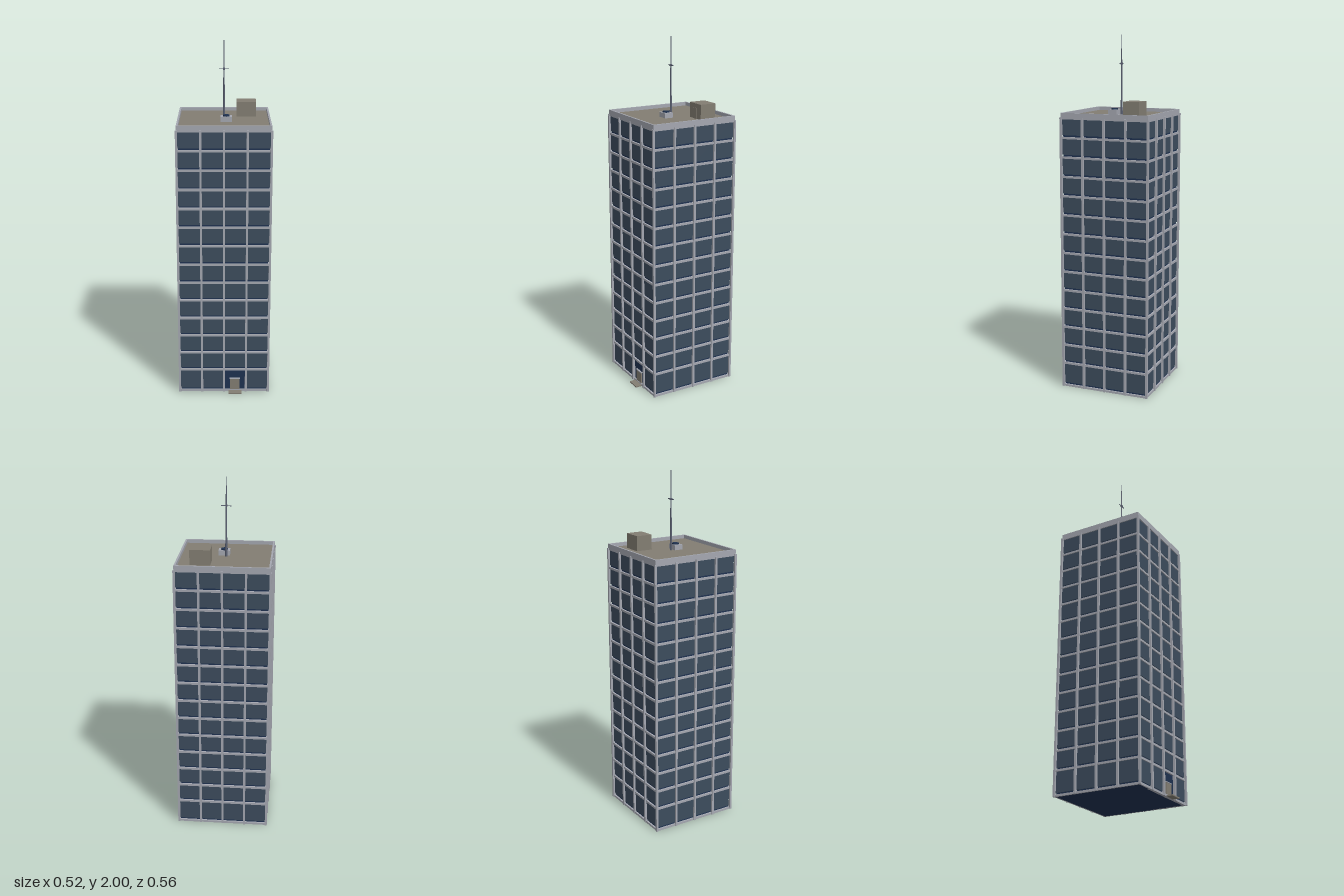
import * as THREE from 'three';

const mat = (name, color) => {
  const m = new THREE.MeshStandardMaterial({ color });
  m.name = name;
  return m;
};

export function createModel() {
  const frameGrey = mat('frame grey', 0xa4a7b0);
  const roofTaupe = mat('roof taupe', 0x827d72);
  const glassBlue = mat('glass blue', 0x3c4c5d);
  const navy = mat('navy core', 0x1e3150);
  const mastGrey = mat('mast grey', 0x5b6172);

  const model = new THREE.Group();
  model.name = 'officeTower';
  const tower = new THREE.Group();
  tower.name = 'tower';
  tower.position.z = -0.018;
  model.add(tower);

  // Box given by its extents on each axis
  const box = (parent, name, material, [x0, x1], [y0, y1], [z0, z1]) => {
    const m = new THREE.Mesh(new THREE.BoxGeometry(x1 - x0, y1 - y0, z1 - z0), material);
    m.position.set((x0 + x1) / 2, (y0 + y1) / 2, (z0 + z1) / 2);
    m.name = name;
    parent.add(m);
    return m;
  };
  const rod = (parent, name, material, rTop, rBottom, y0, y1, x, z, sides) => {
    const m = new THREE.Mesh(new THREE.CylinderGeometry(rTop, rBottom, y1 - y0, sides), material);
    m.position.set(x, (y0 + y1) / 2, z);
    m.name = name;
    parent.add(m);
  };

  const pitch = 0.127, firstFloor = 0.14, floor = 0.1085, floors = 14, top = 1.555;
  const bandY = (k) => (k === 0 ? 0.006 : firstFloor + (k - 1) * floor);

  box(tower, 'core', navy, [-0.247, 0.247], [0, 1.55], [-0.247, 0.247]);

  // Four identical facades; only the front leaves one bay open for the entrance
  for (let side = 0; side < 4; side++) {
    const facade = new THREE.Group();
    facade.name = ['frontFacade', 'leftFacade', 'backFacade', 'rightFacade'][side];
    facade.rotation.y = side * Math.PI / 2;
    tower.add(facade);
    for (let k = 0; k <= floors; k++) {
      const y = bandY(k);
      box(facade, 'floorBand', frameGrey, [-0.25, 0.25], [y - 0.006, y + 0.006], [0.24, 0.257]);
    }
    for (let c = -1; c <= 1; c++) {
      box(facade, 'mullion', frameGrey, [c * pitch - 0.006, c * pitch + 0.006], [0, top], [0.24, 0.262]);
    }
    for (let k = 0; k < floors; k++) {
      for (let c = 0; c < 4; c++) {
        if (side === 0 && k === 0 && c === 2) continue;
        const x = (c - 1.5) * pitch;
        box(facade, 'window', glassBlue, [x - 0.058, x + 0.058],
          [bandY(k) + 0.015, bandY(k + 1) - 0.005], [0.245, 0.251]);
      }
    }
  }

  // Corner posts
  for (const x of [-0.256, 0.256]) {
    for (const z of [-0.256, 0.256]) {
      box(tower, 'cornerPost', frameGrey, [x - 0.006, x + 0.006], [0, top], [z - 0.006, z + 0.006]);
    }
  }

  // Roof deck inside a raised parapet
  box(tower, 'roofDeck', roofTaupe, [-0.25, 0.25], [1.545, 1.56], [-0.25, 0.25]);
  const rim = new THREE.Shape();
  const square = (path, r) => path.moveTo(-r, -r).lineTo(r, -r).lineTo(r, r).lineTo(-r, r).closePath();
  square(rim, 0.257);
  const opening = new THREE.Path();
  square(opening, 0.247);
  rim.holes.push(opening);
  const parapet = new THREE.Mesh(
    new THREE.ExtrudeGeometry(rim, { depth: 0.032, bevelEnabled: false }), frameGrey);
  parapet.name = 'parapet';
  parapet.rotation.x = -Math.PI / 2;
  parapet.position.y = 1.548;
  tower.add(parapet);

  // Entrance: door, lintel and doorstep
  box(model, 'door', roofTaupe, [0.034, 0.091], [0, 0.078], [0.225, 0.236]);
  box(model, 'doorLintel', frameGrey, [0.032, 0.093], [0.078, 0.083], [0.225, 0.239]);
  box(model, 'doorstep', roofTaupe, [0.025, 0.102], [0, 0.007], [0.22, 0.276]);

  // Stair house with its door
  box(model, 'stairHouse', roofTaupe, [0.071, 0.182], [1.555, 1.644], [-0.194, -0.1]);
  box(model, 'stairHouseDoor', roofTaupe, [0.11, 0.144], [1.56, 1.62], [-0.1, -0.097]);

  // Air unit with round fan
  box(model, 'airUnit', frameGrey, [-0.018, 0.045], [1.555, 1.588], [-0.004, 0.045]);
  rod(model, 'airFan', navy, 0.019, 0.019, 1.585, 1.595, 0.013, 0.02, 10);

  // Antenna: stepped mast, crossbar and bracket
  rod(model, 'mastBase', mastGrey, 0.005, 0.007, 1.555, 1.68, 0, -0.018, 8);
  rod(model, 'mastMiddle', mastGrey, 0.0035, 0.005, 1.68, 1.845, 0, -0.018, 8);
  rod(model, 'mastTop', mastGrey, 0.002, 0.0035, 1.845, 2, 0, -0.018, 8);
  box(model, 'crossbar', mastGrey, [-0.028, 0.028], [1.841, 1.845], [-0.02, -0.016]);
  box(model, 'bracket', mastGrey, [-0.005, 0.005], [1.838, 1.848], [-0.024, -0.012]);

  return model;
}
